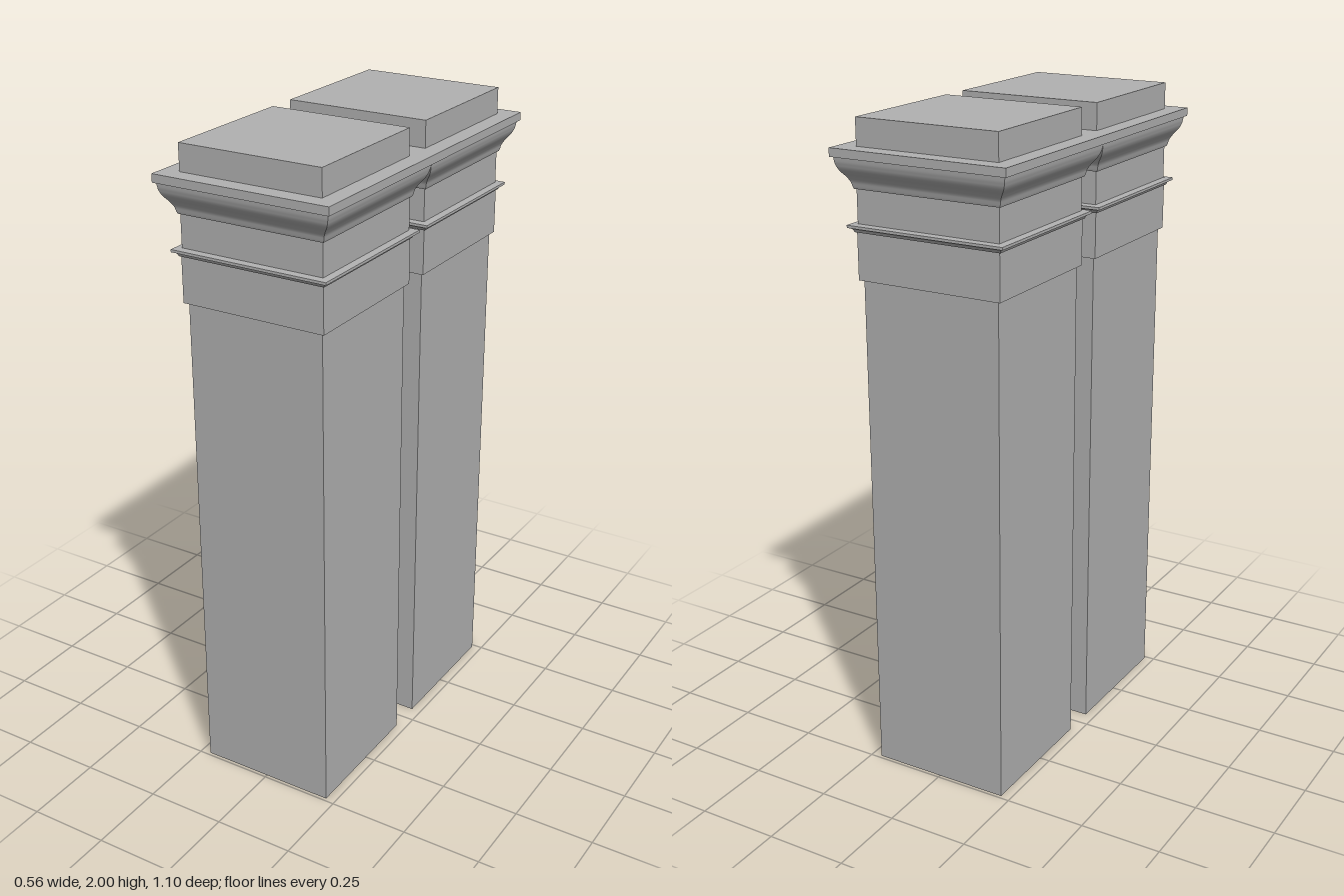
import * as THREE from 'three';
import { toCreasedNormals } from 'three/addons/utils/BufferGeometryUtils.js';

export function createModel() {
  const model = new THREE.Group();
  model.name = 'pairedPilasters';
  const stone = new THREE.MeshStandardMaterial({ color: 0xb2b2b2 });
  stone.name = 'grey stone';

  const add = (parent, name, geometry) => {
    const mesh = new THREE.Mesh(geometry, stone);
    mesh.name = name;
    parent.add(mesh);
  };

  // Square block given by half width and height range
  const block = (half, y0, y1, halfZ = half) =>
    new THREE.BoxGeometry(half * 2, y1 - y0, halfZ * 2).translate(0, (y0 + y1) / 2, 0);

  // Moulding profile [half width, height] swept round a square with mitred corners
  const moulding = (profile) => {
    const points = profile.map(([half, y]) => new THREE.Vector2(half * Math.SQRT2, y));
    return toCreasedNormals(new THREE.LatheGeometry(points, 4, Math.PI / 4), 0.6);
  };

  // S-curve of the crown
  const crownCurve = new THREE.SplineCurve([
    [0.236, 1.812], [0.239, 1.824], [0.248, 1.84], [0.26, 1.856], [0.268, 1.875], [0.271, 1.896],
  ].map(([x, y]) => new THREE.Vector2(x, y)));
  const crown = [[0.2, 1.804], [0.233, 1.804], ...crownCurve.getPoints(16).map((p) => [p.x, p.y])];

  // Thin band with a coved underside
  const band = [
    [0.2, 1.683], [0.235, 1.683], [0.237, 1.689], [0.242, 1.694],
    [0.25, 1.696], [0.25, 1.704], [0.228, 1.706],
  ];

  for (const side of [1, -1]) {
    const pillar = new THREE.Group();
    pillar.name = side > 0 ? 'frontPillar' : 'backPillar';
    pillar.position.z = side * 0.271;
    add(pillar, 'shaft', block(0.219, 0, 1.545));
    add(pillar, 'necking', block(0.23, 1.545, 1.685));
    add(pillar, 'band', moulding(band));
    add(pillar, 'frieze', block(0.228, 1.7, 1.806));
    add(pillar, 'crownMoulding', moulding(crown));
    add(pillar, 'topBlock', block(0.226, 1.915, 2));
    model.add(pillar);
  }

  // Slab shared by both capitals
  add(model, 'abacus', block(0.279, 1.895, 1.92, 0.55));
  return model;
}
